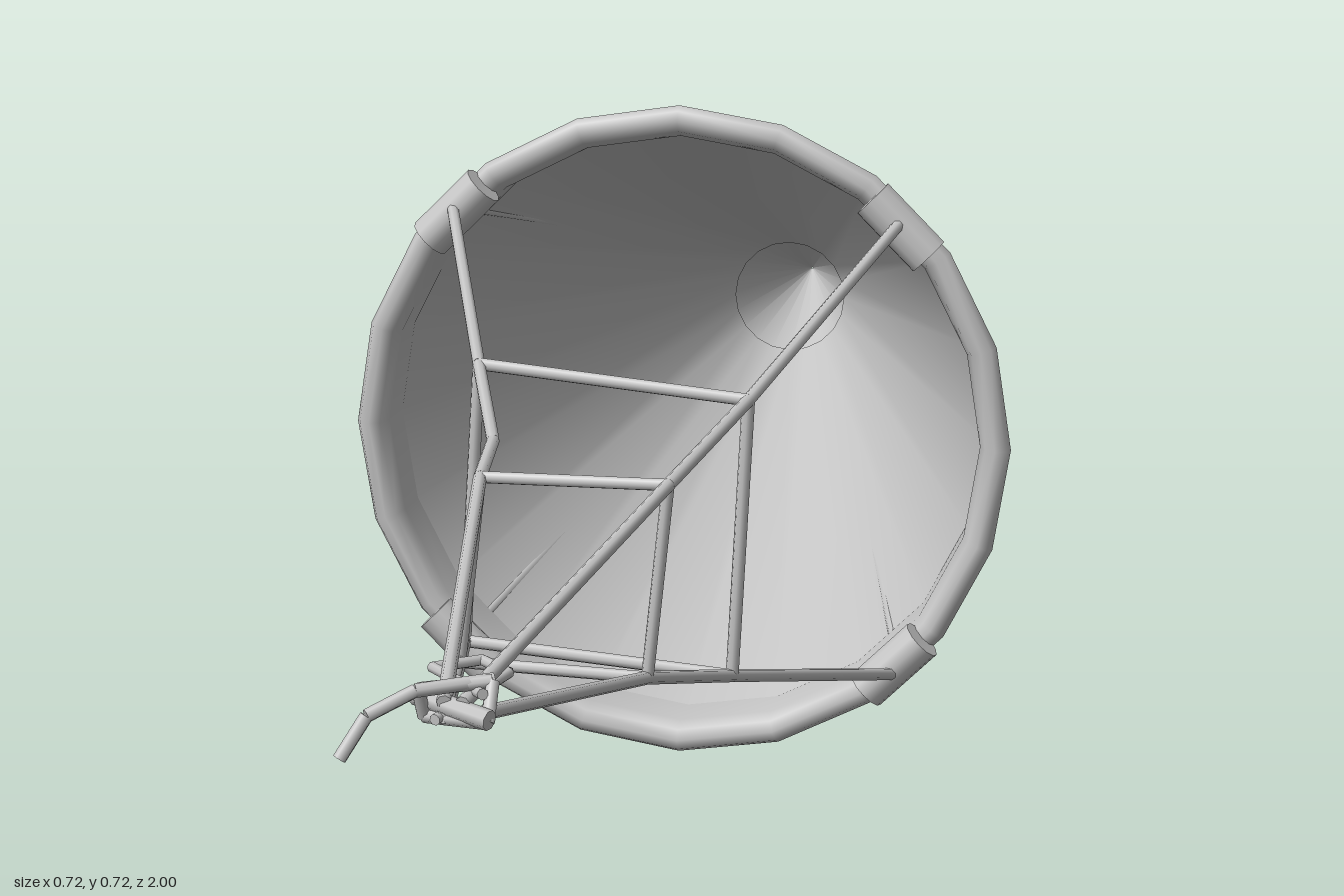
import * as THREE from 'three';

const CY = 0.363; // height of the long axis
const SIDES = 20;

export function createModel() {
  const model = new THREE.Group();
  const grey = new THREE.MeshStandardMaterial({ color: 0xc4c4c4, side: THREE.DoubleSide });
  grey.name = 'light grey';

  const add = (name, geometry) => {
    const mesh = new THREE.Mesh(geometry, grey);
    mesh.name = name;
    model.add(mesh);
    return mesh;
  };

  // Straight round bar between two points
  const bar = (name, a, b, r) => {
    const p = new THREE.Vector3(...a), q = new THREE.Vector3(...b);
    const d = q.clone().sub(p);
    const mesh = add(name, new THREE.CylinderGeometry(r, r, d.length(), 8));
    mesh.position.copy(p).add(q).multiplyScalar(0.5);
    mesh.quaternion.setFromUnitVectors(new THREE.Vector3(0, 1, 0), d.normalize());
  };
  const chain = (name, pts, r) => {
    for (let i = 1; i < pts.length; i++) bar(name, pts[i - 1], pts[i], r);
  };

  // Open conical shell along z
  const cone = (name, rFront, zFront, rBack, zBack) => {
    const g = new THREE.CylinderGeometry(rFront, rBack, zFront - zBack, SIDES, 1, true);
    g.rotateX(Math.PI / 2);
    add(name, g).position.set(0, CY, (zFront + zBack) / 2);
  };
  cone('netCone', 0.337, -0.08, 0.07, -0.812);
  cone('tipCone', 0.076, -0.81, 0.001, -1);

  // Flared, rounded lip: radius and z, from the outside over the front to the inside
  const lip = [[0.334, -0.09], [0.346, -0.074], [0.358, -0.064], [0.361, -0.054],
    [0.356, -0.044], [0.345, -0.04], [0.334, -0.046], [0.327, -0.062], [0.325, -0.11]];
  const lipGeometry = new THREE.LatheGeometry(lip.map(([r, z]) => new THREE.Vector2(r, z)), SIDES);
  lipGeometry.rotateX(Math.PI / 2);
  add('rim', lipGeometry).position.y = CY;

  // Thin collar where the tip joins
  add('tipCollar', new THREE.TorusGeometry(0.076, 0.0025, 6, SIDES)).position.set(0, CY, -0.81);

  // Bridle corners in order: upper left, upper right, lower right, lower left
  const signs = [[-1, 1], [1, 1], [1, -1], [-1, -1]];
  const frameA = [[-0.135, 0.515, 0.3], [0.14, 0.495, 0.32], [0.125, 0.213, 0.32], [-0.153, 0.227, 0.3]];
  const frameB = [[-0.083, 0.455, 0.51], [0.1, 0.46, 0.525], [0.08, 0.272, 0.525], [-0.105, 0.272, 0.51]];
  const nose = [0, 0.37, 0.945];

  signs.forEach(([sx, sy], i) => {
    // Round clamp on the front of the rim
    const clamp = add('rimClamp', new THREE.CylinderGeometry(0.023, 0.023, 0.085, 12));
    clamp.position.set(sx * 0.241, CY + sy * 0.241, -0.036);
    clamp.rotation.z = sx * sy > 0 ? Math.PI / 4 : -Math.PI / 4;

    // Bent bridle bar to the nose
    const end = [nose[0] + sx * 0.008, nose[1] + sy * 0.006, nose[2]];
    const path = [[sx * 0.241, CY + sy * 0.247, -0.02], frameA[i]];
    if (i === 0) path.push([-0.092, 0.468, 0.42]);
    path.push(frameB[i], end);
    chain('bridleBar', path, 0.0065);

    // Cross bars of both square frames
    bar('largeFrameBar', frameA[i], frameA[(i + 1) % 4], 0.0065);
    bar('smallFrameBar', frameB[i], frameB[(i + 1) % 4], 0.006);

    // Stay along the outside of the cone
    const c = Math.SQRT1_2;
    bar('coneStay', [sx * c * 0.335, CY + sy * c * 0.335, -0.085],
      [sx * c * 0.08, CY + sy * c * 0.08, -0.815], 0.006);
  });

  // Nose fitting: crossed pins, a lashing, a loose wire and a bent hook
  bar('nosePin', [-0.038, 0.375, 0.925], [0.033, 0.366, 0.955], 0.009);
  chain('noseLashing', [[-0.03, 0.386, 0.945], [0.03, 0.392, 0.93], [0.03, 0.362, 0.95],
    [-0.028, 0.36, 0.935], [-0.03, 0.386, 0.945]], 0.006);
  chain('noseWire', [[0.025, 0.385, 0.945], [-0.045, 0.372, 0.84], [-0.01, 0.37, 0.805],
    [0.02, 0.368, 0.83], [-0.015, 0.362, 0.95]], 0.005);
  chain('hook', [[0.03, 0.392, 0.925], [-0.03, 0.388, 0.955], [-0.065, 0.372, 0.98],
    [-0.085, 0.338, 0.994]], 0.006);

  return model;
}
